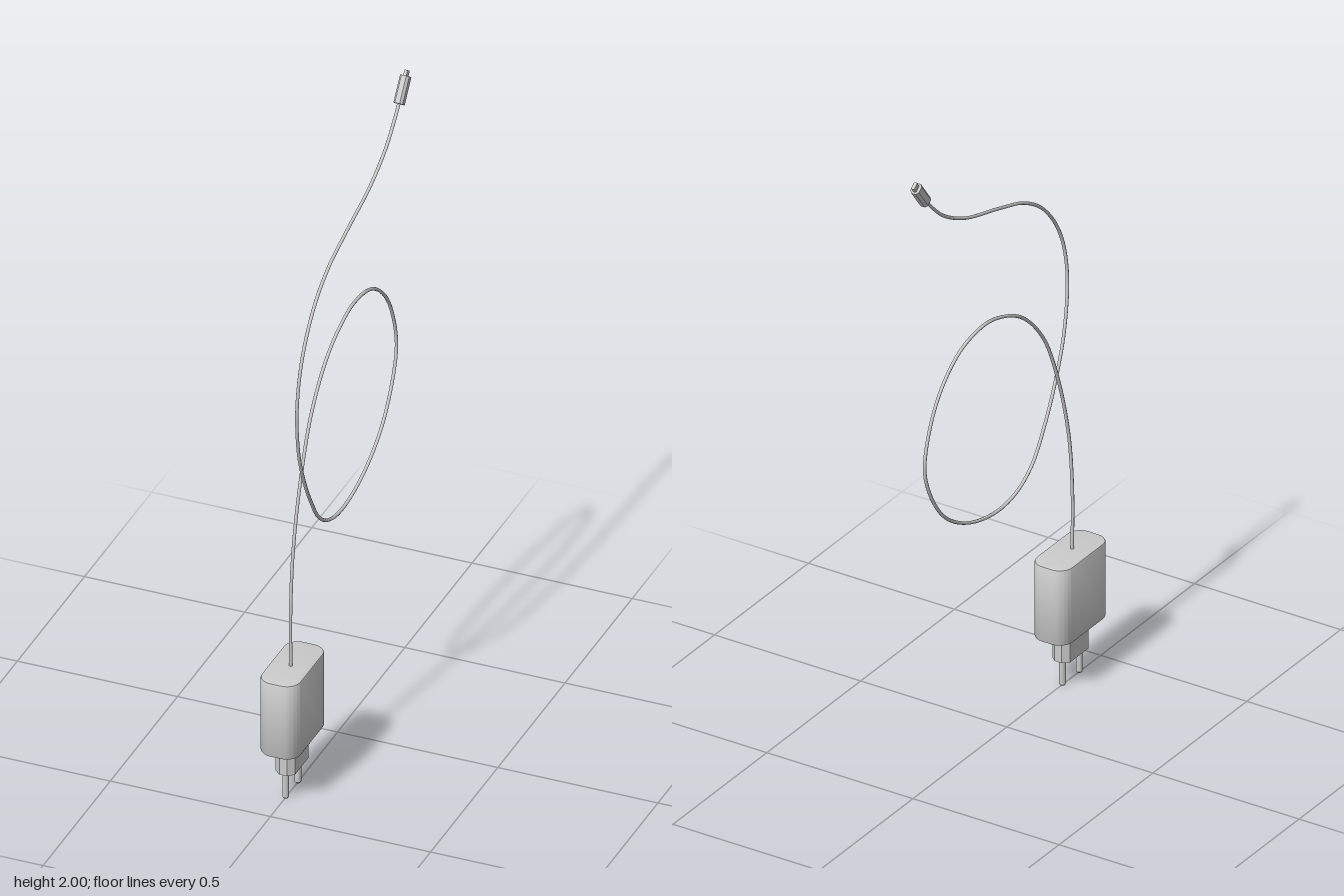
import * as THREE from 'three';
import { toCreasedNormals } from 'three/addons/utils/BufferGeometryUtils.js';

const material = new THREE.MeshStandardMaterial({ color: 0xcccccc });

function part(name, geometry, x, y, z) {
  const mesh = new THREE.Mesh(geometry, material);
  mesh.name = name;
  mesh.position.set(x, y, z);
  return mesh;
}

// Rectangle of w (x) by d (z) with rounded corners
function roundedRect(w, d, r) {
  const s = new THREE.Shape(), a = w / 2 - r, b = d / 2 - r, q = Math.PI / 2;
  s.absarc(a, b, r, 0, q);
  s.absarc(-a, b, r, q, 2 * q);
  s.absarc(-a, -b, r, 2 * q, 3 * q);
  s.absarc(a, -b, r, 3 * q, 4 * q);
  s.closePath();
  return s;
}

// Rectangle with cut corners
function chamferedRect(w, d, cx, cz) {
  const a = w / 2, b = d / 2;
  return new THREE.Shape([
    [a, -b + cz], [a, b - cz], [a - cx, b], [-a + cx, b],
    [-a, b - cz], [-a, -b + cz], [-a + cx, -b], [a - cx, -b],
  ].map(([x, y]) => new THREE.Vector2(x, y)));
}

// Upright prism from y = 0 to y = height, with an optional bevel kept inside the outline
function prism(shape, height, bevel = 0, curveSegments = 6) {
  const g = new THREE.ExtrudeGeometry(shape, {
    depth: height - 2 * bevel, curveSegments,
    bevelEnabled: bevel > 0, bevelSize: bevel, bevelThickness: bevel,
    bevelOffset: -bevel, bevelSegments: 2,
  });
  g.translate(0, 0, bevel);
  g.rotateX(-Math.PI / 2);
  return toCreasedNormals(g, 0.6);
}

export function createModel() {
  const model = new THREE.Group();
  const cz = 0.337;

  // Charger block and plug
  const charger = new THREE.Group();
  charger.name = 'charger';
  charger.add(part('chargerBody', prism(roundedRect(0.123, 0.251, 0.045), 0.25, 0.006), 0, 0.175, cz));
  charger.add(part('plugBase', prism(chamferedRect(0.06, 0.132, 0.018, 0.016), 0.092), 0, 0.085, cz + 0.002));

  // Two round pins with softened tips
  const pinProfile = [[0, 0], [0.007, 0], [0.01, 0.004], [0.01, 0.09]]
    .map(([r, y]) => new THREE.Vector2(r, y));
  for (const side of [-1, 1]) {
    const pin = toCreasedNormals(new THREE.LatheGeometry(pinProfile, 16), 0.6);
    charger.add(part(side > 0 ? 'frontPin' : 'backPin', pin, 0, 0, cz + 0.004 + side * 0.045));
  }
  model.add(charger);

  // Cable: one loop, drifting sideways where it crosses itself
  const path = [
    [0, 0.41, 0.348], [0, 0.6, 0.35], [0, 0.803, 0.331], [0, 1.02, 0.273],
    [0, 1.195, 0.193], [0, 1.317, 0.077], [0, 1.373, -0.045], [0, 1.385, -0.13],
    [0, 1.355, -0.257], [0, 1.248, -0.374], [0, 1.078, -0.437], [0, 0.988, -0.421],
    [0, 0.856, -0.337], [0, 0.771, -0.204], [0, 0.737, -0.05], [0, 0.753, 0.056],
    [0, 0.803, 0.135], [0.002, 0.898, 0.204], [0.008, 1.015, 0.273], [0.016, 1.147, 0.331],
    [0.025, 1.317, 0.361], [0.028, 1.46, 0.331], [0.028, 1.582, 0.246], [0.028, 1.656, 0.14],
    [0.028, 1.704, 0], [0.028, 1.757, -0.178], [0.028, 1.82, -0.294], [0.028, 1.873, -0.352],
    [0.028, 1.92, -0.394],
  ].map(p => new THREE.Vector3(...p));
  const curve = new THREE.CatmullRomCurve3(path, false, 'centripetal');
  model.add(part('cable', new THREE.TubeGeometry(curve, 220, 0.0052, 8), 0, 0, 0));

  // Connector tilted along the end of the cable
  const connector = new THREE.Group();
  connector.name = 'connector';
  connector.add(part('connectorGrip', prism(chamferedRect(0.029, 0.035, 0.007, 0.008), 0.083), 0, 0, 0));
  connector.add(part('connectorTip', prism(roundedRect(0.011, 0.024, 0.0045), 0.02, 0, 4), 0, 0.08, 0));
  connector.position.set(0.028, 1.912, -0.39);
  connector.rotation.x = -Math.atan2(0.6, 0.8);
  model.add(connector);

  return model;
}
